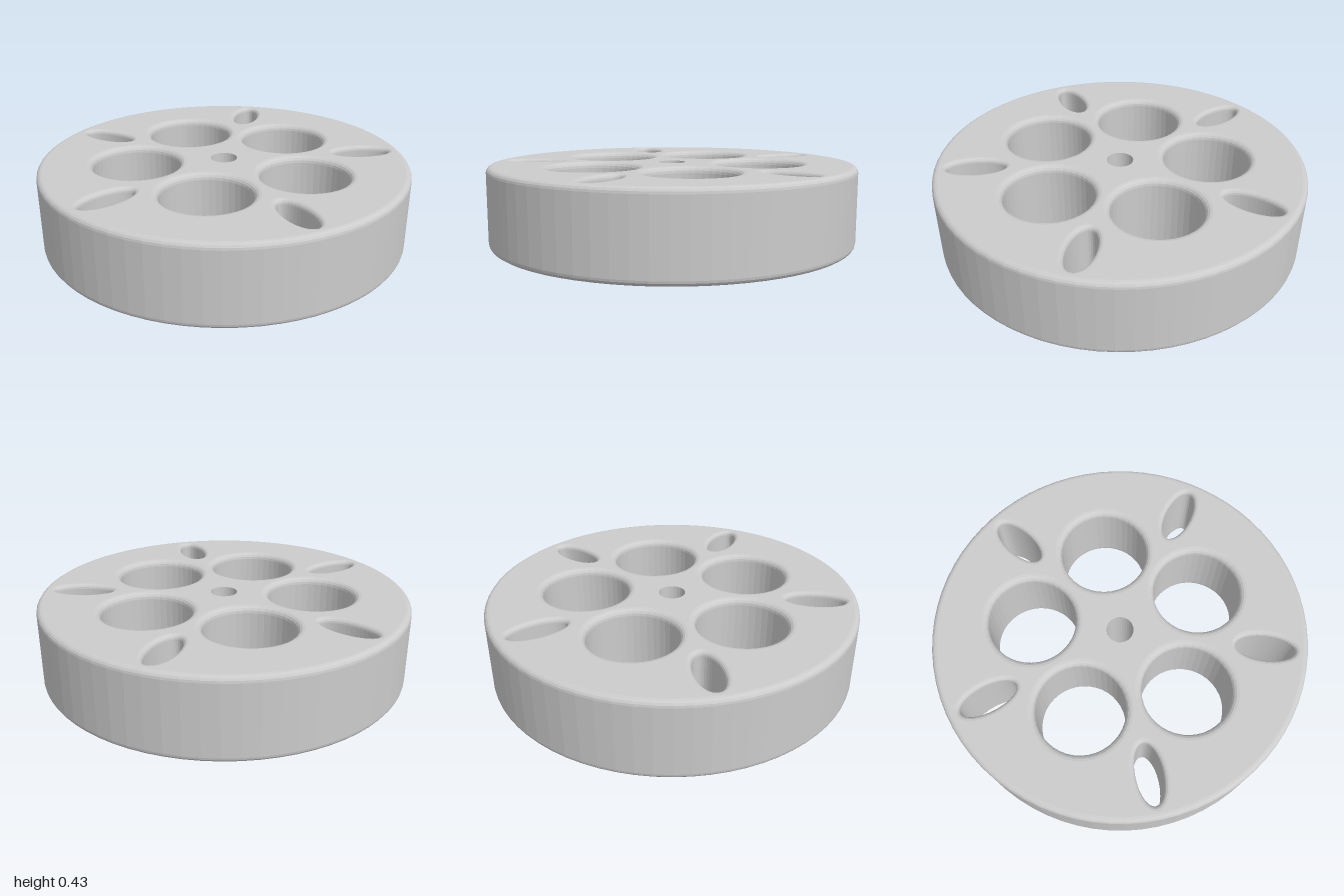
import * as THREE from 'three';
import { mergeGeometries } from 'three/addons/utils/BufferGeometryUtils.js';

const HEIGHT = 0.43;
const STEPS = 4; // facets in each rounded edge

// Point on an ellipse in plan (x, z), pushed outwards along its normal.
function ring(o, offset) {
  const pts = [];
  const c = Math.cos(o.turn), s = Math.sin(o.turn);
  for (let i = 0; i < o.segments; i++) {
    const t = (i / o.segments) * Math.PI * 2;
    const n = new THREE.Vector2(o.b * Math.cos(t), o.a * Math.sin(t)).normalize();
    const u = o.dist + o.a * Math.cos(t) + n.x * offset;
    const v = o.b * Math.sin(t) + n.y * offset;
    pts.push(new THREE.Vector2(u * c - v * s, u * s + v * c));
  }
  return pts;
}

// Vertical wall along an outline with rounded edges at the bottom and top.
function wall(o, sign) {
  const levels = [];
  if (o.fillet > 0) {
    for (let k = 0; k <= STEPS; k++) {
      const a = (k / STEPS) * Math.PI / 2;
      levels.push([o.fillet * (1 - Math.sin(a)), o.fillet * (1 - Math.cos(a))]);
    }
  } else levels.push([0, 0]);
  const rows = [...levels, ...levels.map(([d, y]) => [d, HEIGHT - y]).reverse()];
  const n = o.segments, pos = [], index = [];
  rows.forEach(([d, y]) => ring(o, sign * d).forEach(p => pos.push(p.x, y, p.y)));
  for (let r = 0; r < rows.length - 1; r++) {
    for (let i = 0; i < n; i++) {
      const a = r * n + i, b = r * n + (i + 1) % n, c = a + n, d = b + n;
      if (sign < 0) index.push(a, c, b, b, c, d);
      else index.push(a, b, c, b, d, c);
    }
  }
  const g = new THREE.BufferGeometry();
  g.setAttribute('position', new THREE.Float32BufferAttribute(pos, 3));
  g.setIndex(index);
  g.computeVertexNormals();
  return g;
}

export function createModel() {
  const group = new THREE.Group();
  const material = new THREE.MeshStandardMaterial({ color: 0xcccccc, flatShading: true });
  const add = (name, geometry) => {
    const mesh = new THREE.Mesh(geometry, material);
    mesh.name = name;
    group.add(mesh);
  };

  // Outlines: rim, centre bore, five round holes and five oval slots between them
  const rim = { a: 1, b: 1, dist: 0, turn: 0, fillet: 0.03, segments: 72 };
  const bore = { a: 0.072, b: 0.072, dist: 0, turn: 0, fillet: 0, segments: 32 };
  const rounds = [], slots = [];
  for (let k = 0; k < 5; k++) {
    const turn = Math.PI / 2 + (k * Math.PI * 2) / 5;
    rounds.push({ a: 0.235, b: 0.235, dist: 0.475, turn, fillet: 0.035, segments: 40 });
    slots.push({ a: 0.158, b: 0.07, dist: 0.773, turn: turn + Math.PI, fillet: 0.025, segments: 40 });
  }

  // Flat faces with all the openings cut out
  const face = new THREE.Shape(ring(rim, -rim.fillet));
  [bore, ...rounds, ...slots].forEach(o => face.holes.push(new THREE.Path(ring(o, o.fillet))));
  const bottom = new THREE.ShapeGeometry(face).rotateX(Math.PI / 2);
  const top = bottom.clone().rotateZ(Math.PI).translate(0, HEIGHT, 0);
  add('bottomFace', bottom);
  add('topFace', top);

  // Walls
  add('outerRim', wall(rim, -1));
  add('centreBore', wall(bore, 1));
  add('roundHoles', mergeGeometries(rounds.map(o => wall(o, 1))));
  add('ovalSlots', mergeGeometries(slots.map(o => wall(o, 1))));
  return group;
}
